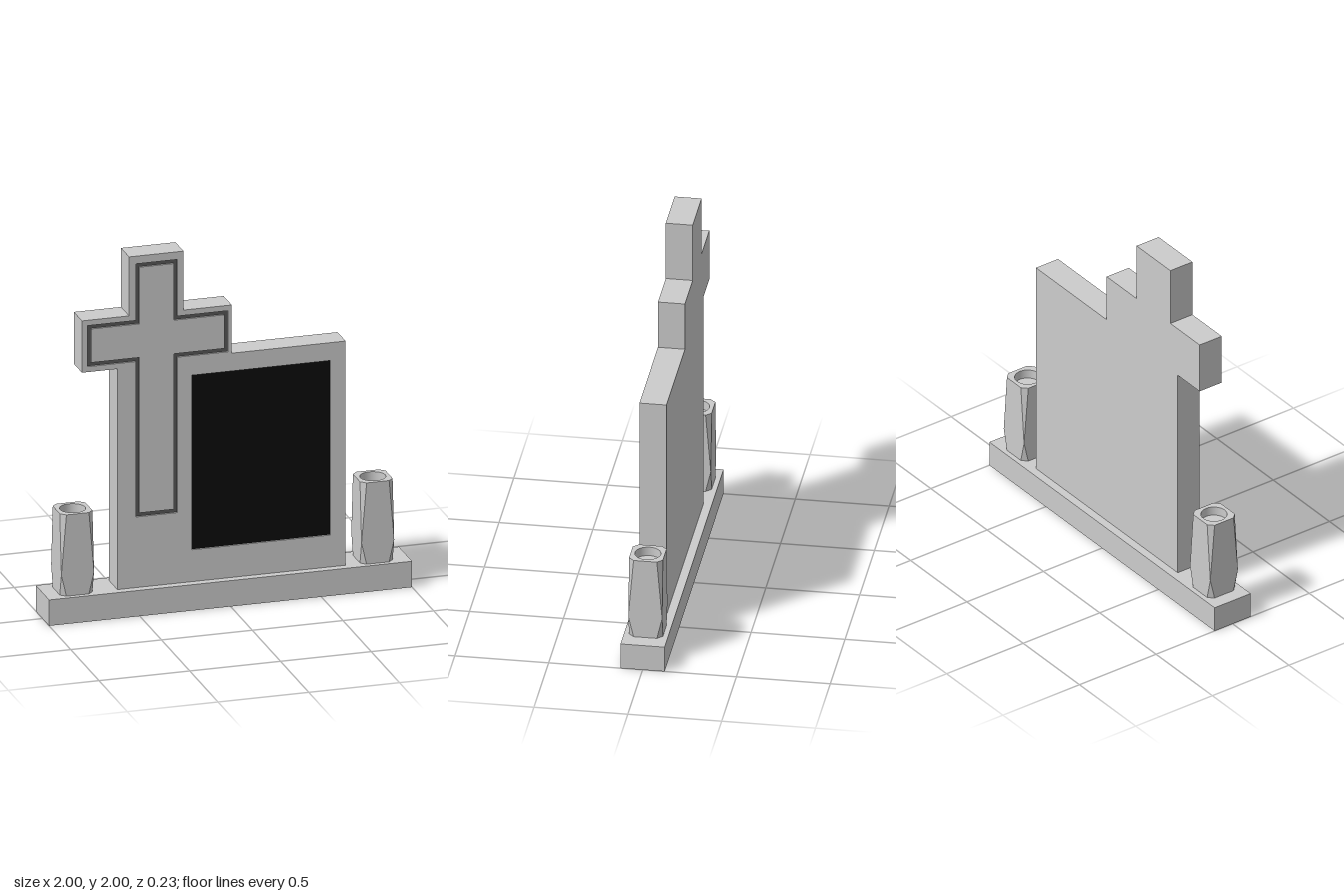
import * as THREE from 'three';

const grey = new THREE.MeshStandardMaterial({ color: 0xcccccc });
const greyFlat = new THREE.MeshStandardMaterial({ color: 0xcccccc, flatShading: true });
const greyThin = new THREE.MeshStandardMaterial({ color: 0xcccccc, side: THREE.DoubleSide });
const dark = new THREE.MeshStandardMaterial({ color: 0x585858 });
const black = new THREE.MeshStandardMaterial({ color: 0x0c0c0c });

const BASE_TOP = 0.145, HALF = 0.072, RECESS = 0.012;

function add(parent, name, geometry, material, x = 0, y = 0, z = 0) {
  const mesh = new THREE.Mesh(geometry, material);
  mesh.name = name;
  mesh.position.set(x, y, z);
  parent.add(mesh);
  return mesh;
}

const points = (list) => list.map(([x, y]) => new THREE.Vector2(x, y));
const extrude = (shape, depth) => new THREE.ExtrudeGeometry(shape, { depth, bevelEnabled: false });

// Latin cross outline, shrunk inwards by d
function crossPoints(d) {
  const l = -0.508 + d, r = -0.278 - d, top = 1.957 - d, bottom = 0.54 + d;
  const armL = -0.775 + d, armR = 0 - d, armTop = 1.64 - d, armBottom = 1.41 + d;
  return points([[l, bottom], [r, bottom], [r, armBottom], [armR, armBottom], [armR, armTop], [r, armTop],
    [r, top], [l, top], [l, armTop], [armL, armTop], [armL, armBottom], [l, armBottom]]);
}

function createHeadstone() {
  const group = new THREE.Group();
  group.name = 'headstone';
  const outline = points([[-0.61, BASE_TOP], [0.648, BASE_TOP], [0.648, 1.4], [0.02, 1.4], [0.02, 1.67], [-0.245, 1.67],
    [-0.245, 2], [-0.545, 2], [-0.545, 1.67], [-0.805, 1.67], [-0.805, 1.38], [-0.61, 1.38]]);
  const panel = points([[-0.198, 0.323], [0.565, 0.323], [0.565, 1.3], [-0.198, 1.3]]);
  const floor = HALF - RECESS;

  add(group, 'slab', extrude(new THREE.Shape(outline), HALF + floor), grey, 0, 0, -HALF);

  // Front layer, cut out for the groove and the panel
  const face = new THREE.Shape(outline);
  face.holes.push(new THREE.Path(crossPoints(0)), new THREE.Path(panel));
  add(group, 'slabFace', extrude(face, RECESS), grey, 0, 0, floor);
  add(group, 'crossFace', extrude(new THREE.Shape(crossPoints(0.021)), RECESS), grey, 0, 0, floor);

  // Dark line around the cross and black panel, both sunk into the face
  const line = new THREE.Shape(crossPoints(0));
  line.holes.push(new THREE.Path(crossPoints(0.021)));
  add(group, 'crossGroove', new THREE.ShapeGeometry(line), dark, 0, 0, floor + 0.002);
  add(group, 'inscriptionPanel', new THREE.ShapeGeometry(new THREE.Shape(panel)), black, 0, 0, floor + 0.002);
  return group;
}

// Square section of half width h with its corners cut by c, anticlockwise
const cutSquare = (h, c) => points([[h, -h + c], [h, h - c], [h - c, h], [-h + c, h],
  [-h, h - c], [-h, -h + c], [-h + c, -h], [h - c, -h]]);

function createVase(x) {
  const group = new THREE.Group();
  group.name = 'vase';
  group.position.set(x, BASE_TOP, 0);
  const h = 0.09, cut = 0.028, height = 0.455, radius = 0.069, depth = 0.05;

  // Corners are sharp near the foot and cut away towards both ends
  const rings = [[0, cut], [0.12, 0], [height, cut]].map(([y, c]) =>
    cutSquare(h, c).map((p) => new THREE.Vector3(p.x, y, -p.y)));
  const positions = [];
  for (let r = 0; r < 2; r++) {
    for (let i = 0; i < 8; i++) {
      const j = (i + 1) % 8;
      const a = rings[r][i], b = rings[r][j], c = rings[r + 1][j], d = rings[r + 1][i];
      for (const tri of [[a, b, c], [a, c, d]]) {
        if (new THREE.Triangle(...tri).getArea() > 1e-7) tri.forEach((p) => positions.push(p.x, p.y, p.z));
      }
    }
  }
  const sides = new THREE.BufferGeometry();
  sides.setAttribute('position', new THREE.Float32BufferAttribute(positions, 3));
  sides.computeVertexNormals();
  add(group, 'vaseSides', sides, greyFlat);

  // Rim with a round opening, the cup inside it and the foot
  const rim = new THREE.Shape(cutSquare(h, cut));
  rim.holes.push(new THREE.Path().absarc(0, 0, radius, 0, Math.PI * 2, true));
  add(group, 'vaseRim', new THREE.ShapeGeometry(rim, 16).rotateX(-Math.PI / 2), grey, 0, height, 0);
  add(group, 'vaseCup', new THREE.CylinderGeometry(radius, radius, depth, 32, 1, true), greyThin, 0, height - depth / 2, 0);
  add(group, 'vaseCupFloor', new THREE.CircleGeometry(radius, 32).rotateX(-Math.PI / 2), grey, 0, height - depth, 0);
  add(group, 'vaseFoot', new THREE.ShapeGeometry(new THREE.Shape(cutSquare(h, cut))).rotateX(Math.PI / 2), grey);
  return group;
}

export function createModel() {
  const model = new THREE.Group();
  model.name = 'gravestone';
  add(model, 'base', new THREE.BoxGeometry(2, BASE_TOP, 0.235), grey, 0, BASE_TOP / 2, 0);
  model.add(createHeadstone());
  for (const x of [-0.834, 0.82]) model.add(createVase(x));
  return model;
}
